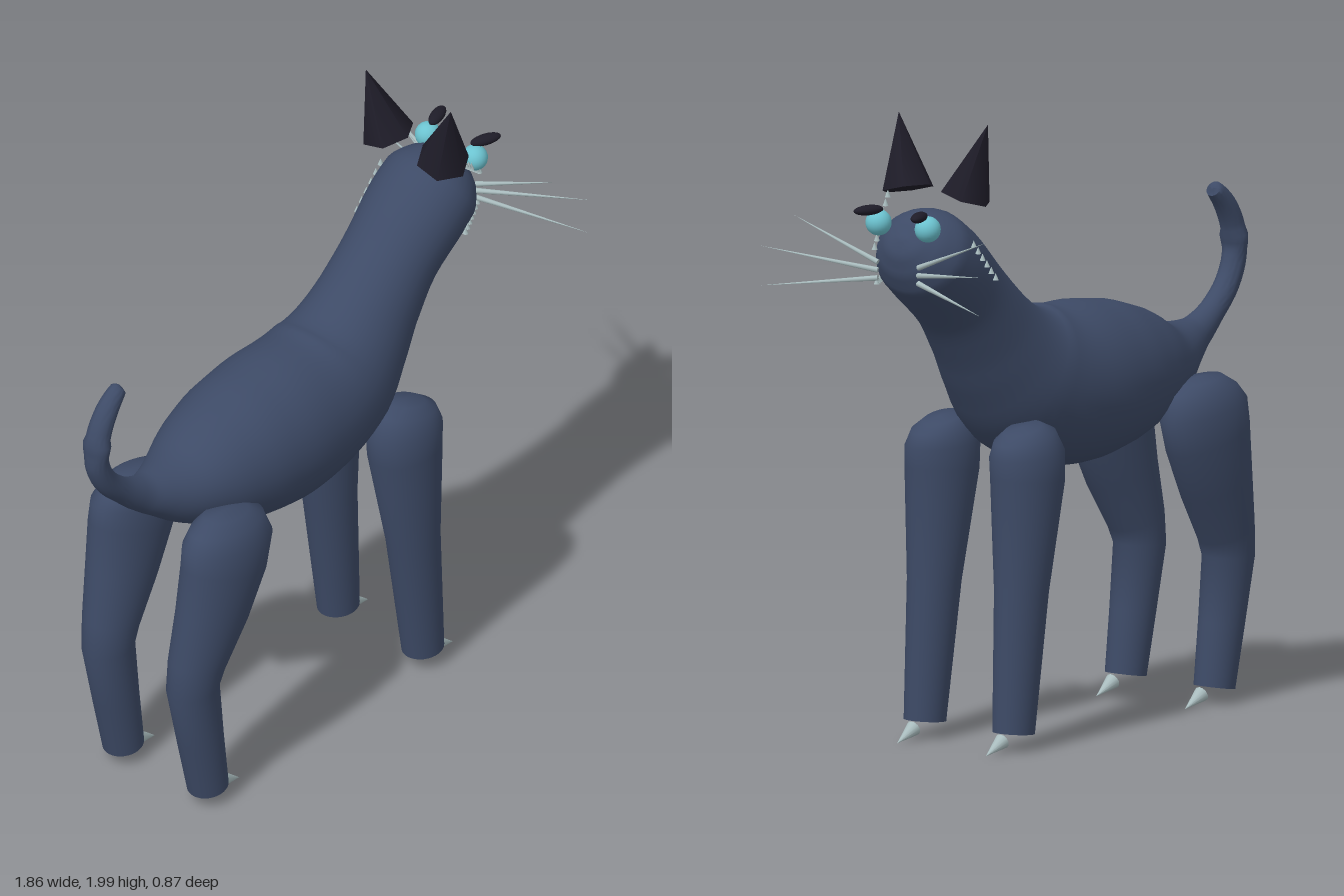
import * as THREE from 'three';
import { toCreasedNormals } from 'three/addons/utils/BufferGeometryUtils.js';

const mat = (name, color) => Object.assign(new THREE.MeshStandardMaterial({ color }), { name });

// Skin through elliptical rings [x, y, z, half depth, half width]; sub = steps between rings
function loft(rings, sub, sides = 32) {
  const centre = new THREE.CatmullRomCurve3(rings.map(r => new THREE.Vector3(r[0], r[1], r[2])));
  const size = new THREE.CatmullRomCurve3(rings.map(r => new THREE.Vector3(r[3], r[4], 0)));
  const n = (rings.length - 1) * sub;
  const c = [], pos = [], index = [];
  for (let i = 0; i <= n; i++) c.push(centre.getPoint(i / n));
  const Z = new THREE.Vector3(0, 0, 1);
  for (let i = 0; i <= n; i++) {
    const tangent = c[Math.min(i + 1, n)].clone().sub(c[Math.max(i - 1, 0)]);
    const N = new THREE.Vector3().crossVectors(Z, tangent).normalize();
    const s = size.getPoint(i / n);
    for (let j = 0; j < sides; j++) {
      const a = j / sides * Math.PI * 2;
      const p = c[i].clone().addScaledVector(N, s.x * Math.cos(a)).addScaledVector(Z, s.y * Math.sin(a));
      pos.push(p.x, p.y, p.z);
      if (i < n) {
        const k = (j + 1) % sides, r = i * sides, q = r + sides;
        index.push(r + j, r + k, q + k, r + j, q + k, q + j);
      }
    }
  }
  const g = new THREE.BufferGeometry();
  g.setAttribute('position', new THREE.Float32BufferAttribute(pos, 3));
  g.setIndex(index);
  return toCreasedNormals(g, 0.9);
}

// Cone standing on point a with its tip at point b
function spike(name, a, b, radius, sides, material) {
  const from = new THREE.Vector3(...a), to = new THREE.Vector3(...b);
  const dir = to.clone().sub(from);
  const m = new THREE.Mesh(new THREE.ConeGeometry(radius, dir.length(), sides), material);
  m.position.copy(from).add(to).multiplyScalar(0.5);
  m.quaternion.setFromUnitVectors(new THREE.Vector3(0, 1, 0), dir.normalize());
  m.name = name;
  return m;
}

export function createModel() {
  const model = new THREE.Group();
  model.name = 'cat';
  const fur = mat('slate fur', 0x3d4a66);
  const dark = mat('dark fur', 0x1e1c28);
  const eye = mat('aqua eye', 0x6cc3d0);
  const pale = mat('pale horn', 0xa9bcbe);

  const add = (name, geometry, material) => {
    const m = new THREE.Mesh(geometry, material);
    m.name = name;
    model.add(m);
    return m;
  };

  // Tail, trunk, neck and head in one skin
  add('body', loft([
    [-0.785, 1.58, 0, 0, 0],
    [-0.795, 1.575, 0, 0.026, 0.026],
    [-0.85, 1.52, 0, 0.035, 0.036],
    [-0.89, 1.44, 0, 0.037, 0.04],
    [-0.897, 1.35, 0, 0.037, 0.04],
    [-0.86, 1.265, 0, 0.039, 0.04],
    [-0.79, 1.195, 0, 0.041, 0.042],
    [-0.70, 1.135, 0, 0.058, 0.055],
    [-0.62, 1.105, 0, 0.085, 0.09],
    [-0.52, 1.08, 0, 0.13, 0.14],
    [-0.40, 1.075, 0, 0.19, 0.19],
    [-0.25, 1.075, 0, 0.235, 0.225],
    [-0.08, 1.075, 0, 0.257, 0.236],
    [0.08, 1.09, 0, 0.252, 0.225],
    [0.20, 1.14, 0, 0.24, 0.21],
    [0.29, 1.215, 0, 0.20, 0.185],
    [0.375, 1.31, 0, 0.17, 0.165],
    [0.485, 1.435, 0, 0.15, 0.157],
    [0.60, 1.54, 0, 0.153, 0.167],
    [0.67, 1.593, 0, 0.148, 0.165],
    [0.73, 1.628, 0, 0.11, 0.125],
    [0.763, 1.645, 0, 0.06, 0.07],
    [0.775, 1.652, 0, 0, 0],
  ], 4), fur);

  for (const s of [1, -1]) {
    const side = s > 0 ? 'Left' : 'Right';

    // Legs: domed at the hip or shoulder, cut flat at the foot
    add('rearLeg' + side, loft([
      [-0.495, 1.05, 0.18 * s, 0, 0],
      [-0.497, 1.04, 0.18 * s, 0.09, 0.055],
      [-0.499, 1.01, 0.185 * s, 0.145, 0.085],
      [-0.50, 0.95, 0.19 * s, 0.178, 0.105],
      [-0.52, 0.86, 0.192 * s, 0.168, 0.108],
      [-0.57, 0.70, 0.187 * s, 0.135, 0.1],
      [-0.63, 0.54, 0.178 * s, 0.1, 0.085],
      [-0.645, 0.46, 0.175 * s, 0.09, 0.078],
      [-0.61, 0.25, 0.175 * s, 0.077, 0.071],
      [-0.575, 0.055, 0.175 * s, 0.066, 0.065],
      [-0.575, 0.055, 0.175 * s, 0, 0],
    ], 1), fur);
    add('frontLeg' + side, loft([
      [0.37, 1.015, 0.16 * s, 0, 0],
      [0.368, 1.01, 0.16 * s, 0.07, 0.055],
      [0.363, 0.985, 0.163 * s, 0.115, 0.085],
      [0.355, 0.93, 0.167 * s, 0.137, 0.105],
      [0.355, 0.85, 0.169 * s, 0.131, 0.107],
      [0.39, 0.5, 0.172 * s, 0.091, 0.082],
      [0.433, 0.06, 0.175 * s, 0.069, 0.065],
      [0.433, 0.06, 0.175 * s, 0, 0],
    ], 1), fur);

    // Claws
    for (const x of [-0.51, 0.49])
      model.add(spike('claw' + side, [x, 0.042, 0.175 * s], [x + 0.083, 0.006, 0.175 * s], 0.025, 12, pale));

    // Ear
    model.add(spike('ear' + side, [0.597, 1.77, 0.113 * s], [0.563, 2.0, 0.176 * s], 0.085, 6, dark));

    // Eye with a dark brow
    add('eye' + side, new THREE.SphereGeometry(0.041, 24, 16), eye).position.set(0.765, 1.69, 0.097 * s);
    const brow = add('brow' + side, new THREE.SphereGeometry(1, 20, 12), dark);
    brow.scale.set(0.053, 0.016, 0.022);
    brow.rotation.y = -0.35 * s;
    brow.position.set(0.812, 1.735, 0.1 * s);

    // Whiskers
    for (const [y, x, tipY, tipZ] of [[1.57, 0.83, 1.69, 0.38], [1.545, 0.925, 1.6, 0.435], [1.52, 0.925, 1.475, 0.435]])
      model.add(spike('whisker' + side, [0.79, y, 0.08 * s], [x, tipY, tipZ * s], 0.009, 8, pale));
  }

  // Small studs along the mouth, the cheek and the side of the head
  const row = (name, a, b, count, drop) => {
    for (let i = 0; i < count; i++) {
      const p = a.map((v, k) => v + (b[k] - v) * i / (count - 1));
      model.add(spike(name, p, [p[0], p[1] + drop, p[2]], 0.01, 6, pale));
    }
  };
  row('mouthStud', [0.65, 1.492, 0.16], [0.79, 1.5, 0.085], 7, 0.022);
  row('cheekStud', [0.645, 1.745, 0.155], [0.80, 1.61, 0.085], 7, 0.025);
  row('headStud', [0.51, 1.5, -0.165], [0.62, 1.62, -0.165], 6, 0.022);
  return model;
}
